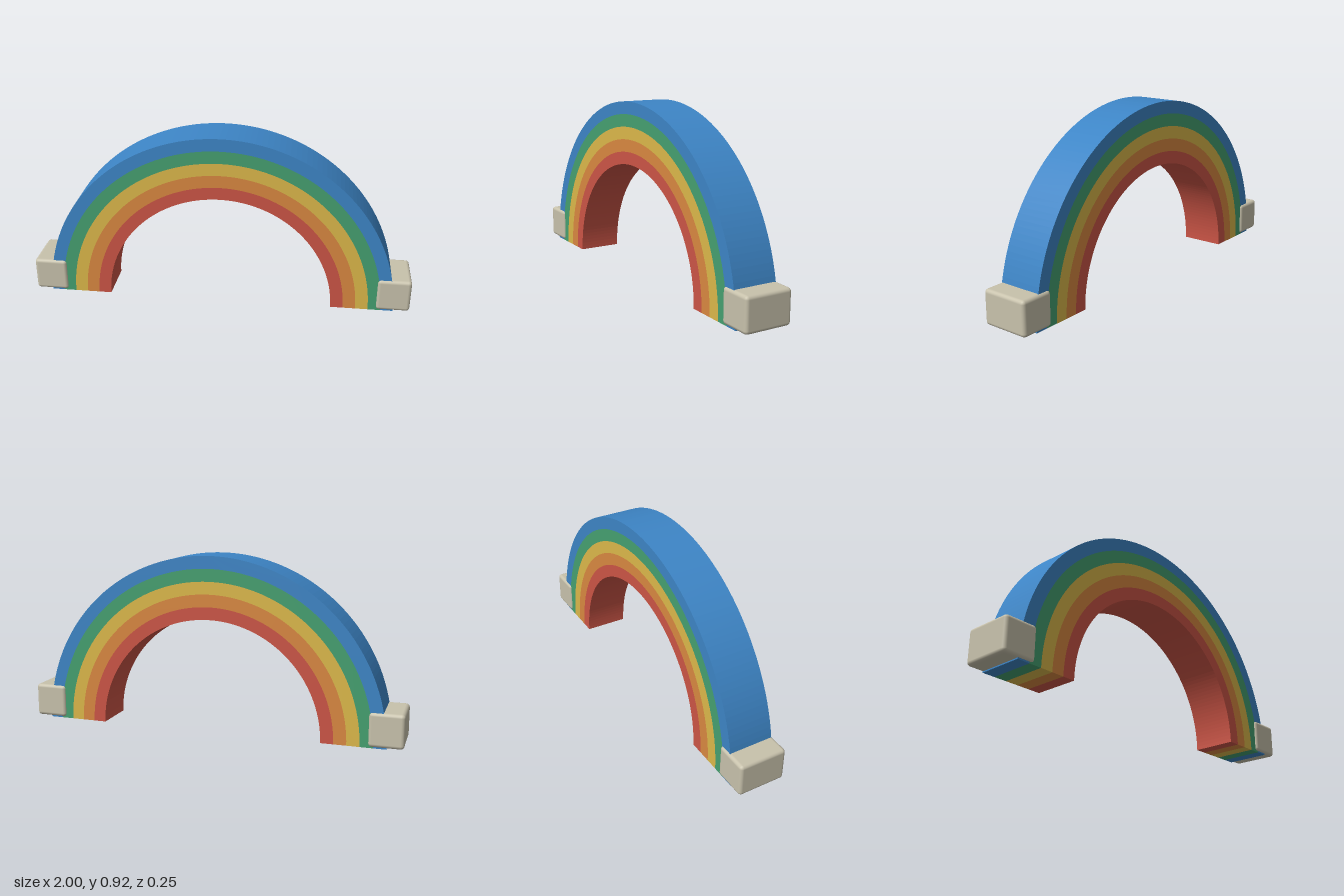
import * as THREE from 'three';
import { RoundedBoxGeometry } from 'three/addons/geometries/RoundedBoxGeometry.js';

const INNER = 0.59, BAND = 0.065, DEPTH = 0.23;
const BANDS = [
  ['redBand', 0xcc5546],
  ['orangeBand', 0xd98841],
  ['yellowBand', 0xdcb84a],
  ['greenBand', 0x45a070],
  ['blueBand', 0x3d85c6],
];

// Half ring standing on y = 0, extruded along z and centred
function archGeometry(r0, r1) {
  const shape = new THREE.Shape();
  shape.absarc(0, 0, r1, 0, Math.PI, false);
  shape.absarc(0, 0, r0, Math.PI, 0, true);
  shape.closePath();
  const geometry = new THREE.ExtrudeGeometry(shape, { depth: DEPTH, bevelEnabled: false, curveSegments: 48 });
  return geometry.translate(0, 0, -DEPTH / 2);
}

export function createModel() {
  const model = new THREE.Group();
  model.name = 'rainbowArch';

  // Five nested coloured bands, inside to outside
  BANDS.forEach(([name, color], i) => {
    const r0 = INNER + i * BAND;
    const band = new THREE.Mesh(archGeometry(r0, r0 + BAND), new THREE.MeshStandardMaterial({ color }));
    band.name = name;
    model.add(band);
  });

  // Rounded foot blocks around the outer ends
  const footGeometry = new RoundedBoxGeometry(0.175, 0.175, 0.25, 2, 0.018);
  const footMaterial = new THREE.MeshStandardMaterial({ color: 0xc8c2ac });
  for (const side of [1, -1]) {
    const foot = new THREE.Mesh(footGeometry, footMaterial);
    foot.name = side > 0 ? 'leftFoot' : 'rightFoot';
    foot.position.set(side * 0.9125, 0.0935, 0);
    model.add(foot);
  }
  return model;
}
